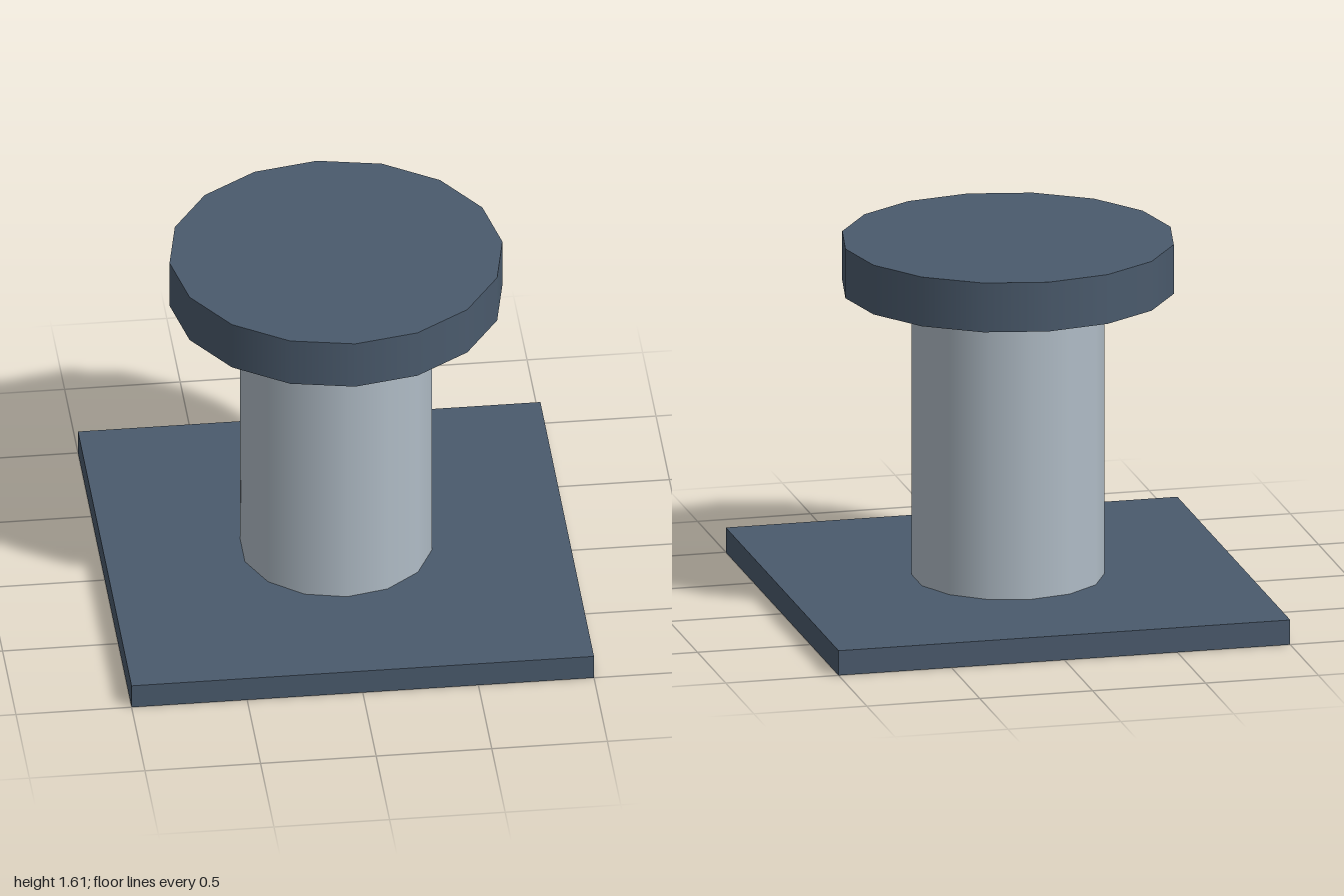
import * as THREE from 'three';

export function createModel() {
  const model = new THREE.Group();
  model.name = 'mooringPost';

  const darkSteel = new THREE.MeshStandardMaterial({ color: 0x4a5a6c });
  darkSteel.name = 'dark steel';
  const paleSteel = new THREE.MeshStandardMaterial({ color: 0xb0bcc6 });
  paleSteel.name = 'pale steel';

  // Adds a part whose underside sits at the given height
  const add = (name, geometry, material, bottom, height) => {
    const mesh = new THREE.Mesh(geometry, material);
    mesh.name = name;
    mesh.position.y = bottom + height / 2;
    model.add(mesh);
  };

  // Square base plate
  add('basePlate', new THREE.BoxGeometry(2, 0.11, 2), darkSteel, 0, 0.11);

  // 14-sided post between plate and cap
  add('post', new THREE.CylinderGeometry(0.415, 0.415, 1.28, 14), paleSteel, 0.11, 1.28);

  // 16-sided overhanging cap
  add('cap', new THREE.CylinderGeometry(0.72, 0.72, 0.22, 16), darkSteel, 1.39, 0.22);

  return model;
}
